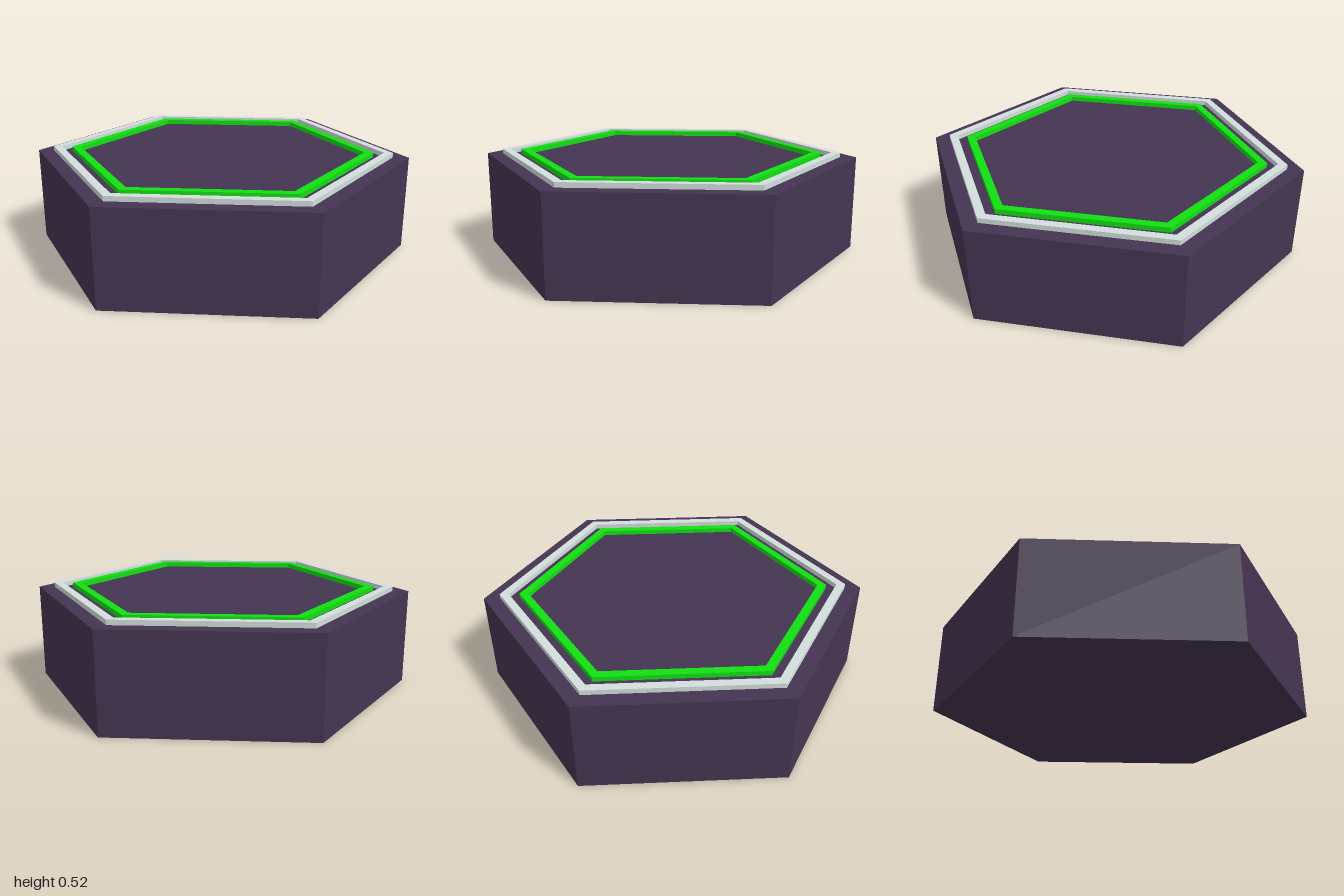
import * as THREE from 'three';

const HEIGHT = 0.5;

// Six corners of a hexagon with points on the x axis
function hexPoints(radius) {
  return Array.from({ length: 6 }, (_, i) => {
    const a = (i * Math.PI) / 3;
    return new THREE.Vector2(radius * Math.cos(a), radius * Math.sin(a));
  });
}

function material(color) {
  return new THREE.MeshStandardMaterial({ color, flatShading: true });
}

// Raised hexagonal band lying on the top face
function hexRing(name, outer, inner, height, color) {
  const shape = new THREE.Shape(hexPoints(outer));
  shape.holes.push(new THREE.Path(hexPoints(inner)));
  const geometry = new THREE.ExtrudeGeometry(shape, { depth: height, bevelEnabled: false });
  geometry.rotateX(-Math.PI / 2);
  const mesh = new THREE.Mesh(geometry, material(color));
  mesh.name = name;
  mesh.position.y = HEIGHT;
  return mesh;
}

export function createModel() {
  const group = new THREE.Group();
  group.name = 'hexagonalTile';

  // Solid six-sided base
  const base = new THREE.Mesh(
    new THREE.CylinderGeometry(1, 1, HEIGHT, 6, 1, false, Math.PI / 2),
    material(0x443552)
  );
  base.name = 'base';
  base.position.y = HEIGHT / 2;
  group.add(base);

  // Two concentric bands
  group.add(hexRing('outerRing', 0.915, 0.867, 0.025, 0xd2dedc));
  group.add(hexRing('innerRing', 0.812, 0.765, 0.025, 0x12e012));

  return group;
}
